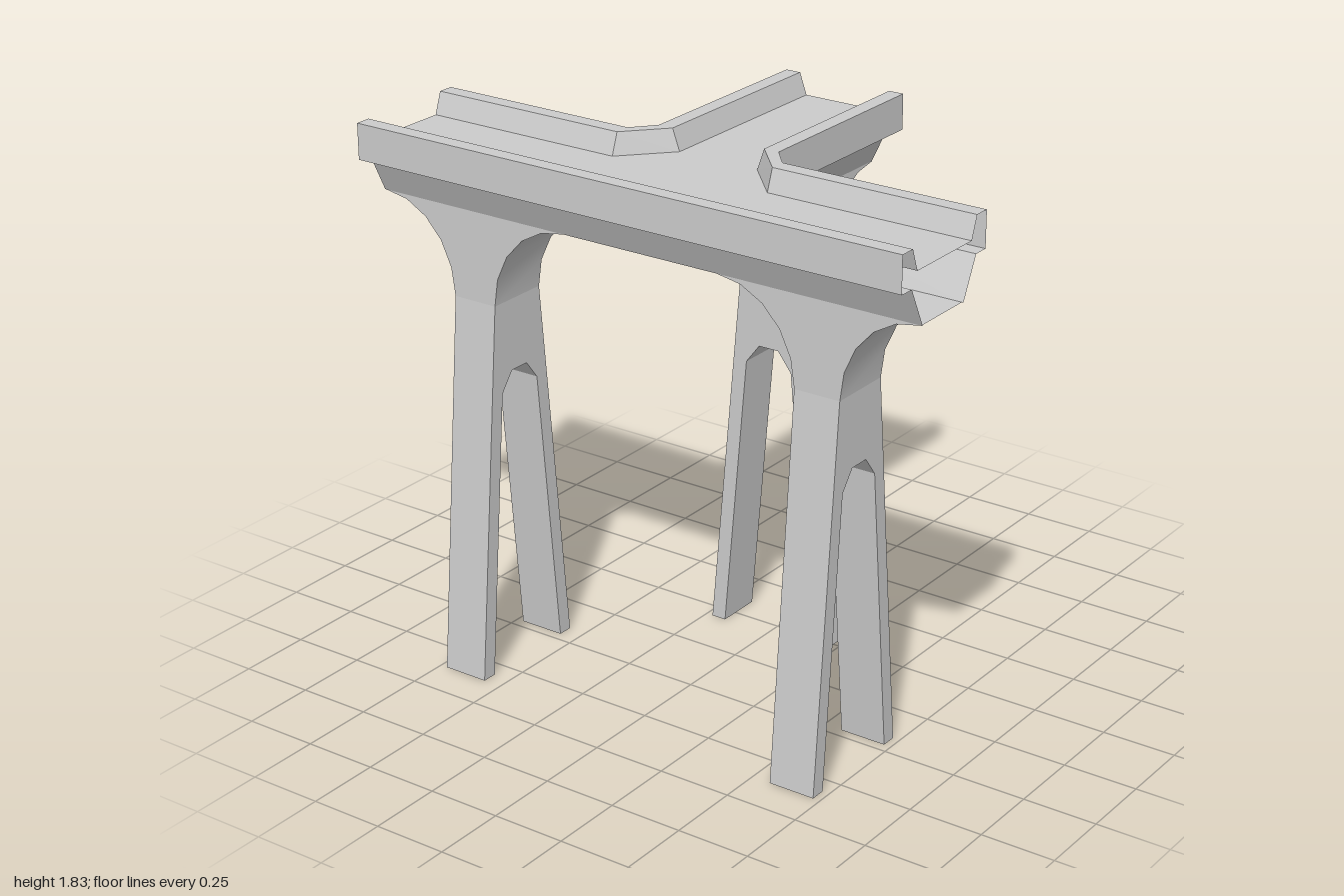
import * as THREE from 'three';
import { toCreasedNormals } from 'three/addons/utils/BufferGeometryUtils.js';

const MAIN_X = -0.39;            // centre line of the main span
const CORNER_Z = 0.29;           // where the inner corners start on the main span
const CORNER_X = -0.09;          // where they end on the branch
const END_X = 0.612;
const SOFFIT = 1.575, DECK = 1.753, FLARE_Y = 1.275;

const material = new THREE.MeshStandardMaterial({ color: 0xcccccc, side: THREE.DoubleSide });

function addMesh(parent, geometry, name) {
  const mesh = new THREE.Mesh(geometry, material);
  mesh.name = name;
  parent.add(mesh);
  return mesh;
}

// Half section of the girder: [distance from centre line, height]
const section = [[0.11, SOFFIT], [0.173, 1.705], [0.225, 1.705], [0.225, 1.825], [0.172, 1.825], [0.146, DECK]];

// Plan line of an edge at a given distance from the centre lines, [x, z]
const cornerLine = (o) => [[MAIN_X + o, 1], [MAIN_X + o, CORNER_Z], [CORNER_X, o], [END_X, o]];
const straightLine = (o) => [[MAIN_X - o, -1], [MAIN_X - o, 1]];

// Sweeps the half section along a plan line, with faceted strips
function sweep(line, mirror = 1) {
  const rows = section.map(([o, y]) => line(o).map(([x, z]) => [x, y, z * mirror]));
  const pos = [];
  for (let i = 0; i < rows.length - 1; i++) {
    for (let j = 0; j < rows[i].length - 1; j++) {
      const a = rows[i][j], b = rows[i][j + 1], c = rows[i + 1][j + 1], d = rows[i + 1][j];
      const quad = mirror > 0 ? [a, b, c, a, c, d] : [a, c, b, a, d, c];
      quad.forEach((p) => pos.push(...p));
    }
  }
  const g = new THREE.BufferGeometry();
  g.setAttribute('position', new THREE.Float32BufferAttribute(pos, 3));
  g.computeVertexNormals();
  return g;
}

// Horizontal slab from a plan outline [x, z]; facing up, or down
function slab(points, y, up) {
  const shape = new THREE.Shape(points.map(([x, z]) => new THREE.Vector2(x, up ? -z : z)));
  return new THREE.ShapeGeometry(shape).rotateX(up ? -Math.PI / 2 : Math.PI / 2).translate(0, y, 0);
}
const mirrored = (points) => [...points, ...points.map(([x, z]) => [x, -z]).reverse()];

// Splayed two-legged pier whose head flares into the girder along local z
function makePier(name) {
  const pier = new THREE.Group();
  pier.name = name;
  const half = [[0.11, FLARE_Y], [0.226, 0], [0.174, 0], [0.087, 0.97], [0.037, 1.035]];
  const outline = [...half, ...half.map(([x, y]) => [-x, y]).reverse()];
  const frame = new THREE.ExtrudeGeometry(
    new THREE.Shape(outline.map(([x, y]) => new THREE.Vector2(x, y))),
    { depth: 0.16, bevelEnabled: false }
  ).translate(0, 0, -0.08);
  addMesh(pier, frame, 'splayedLegs');

  // Quarter-ellipse flares on both sides of the head
  const steps = 5, outer = [], inner = [];
  for (let i = 0; i <= steps; i++) {
    const a = (i / steps) * Math.PI / 2;
    const y = FLARE_Y + (SOFFIT - FLARE_Y) * Math.sin(a);
    outer.push(new THREE.Vector2(0.08 + 0.27 * (1 - Math.cos(a)), y));
    inner.push(new THREE.Vector2(-0.08 - 0.28 * (1 - Math.cos(a)), y));
  }
  const head = new THREE.ExtrudeGeometry(new THREE.Shape([...outer, ...inner.reverse()]),
    { depth: 0.22, bevelEnabled: false }).translate(0, 0, -0.11).rotateY(-Math.PI / 2);
  addMesh(pier, toCreasedNormals(head, 0.5), 'flaredHead');
  return pier;
}

export function createModel() {
  const model = new THREE.Group();
  model.name = 'elevatedJunction';

  // Girder sides with parapets
  addMesh(model, sweep(straightLine), 'straightParapet');
  addMesh(model, sweep(cornerLine, -1), 'backCornerParapet');
  addMesh(model, sweep(cornerLine, 1), 'frontCornerParapet');

  // Deck surface and the flat soffit under the junction
  const o = 0.146;
  addMesh(model, slab(mirrored([[MAIN_X - o, 1], ...cornerLine(o)]), DECK, true), 'deck');
  const soffit = [[MAIN_X - 0.11, CORNER_Z], ...cornerLine(0.11).slice(1, 3)];
  addMesh(model, slab(mirrored(soffit), SOFFIT, false), 'junctionSoffit');

  // Piers under the three arms
  [['frontPier', MAIN_X, 0.645, 0], ['backPier', MAIN_X, -0.645, Math.PI], ['branchPier', 0.268, 0, Math.PI / 2]]
    .forEach(([name, x, z, turn]) => {
      const pier = makePier(name);
      pier.position.set(x, 0, z);
      pier.rotation.y = turn;
      model.add(pier);
    });
  return model;
}
